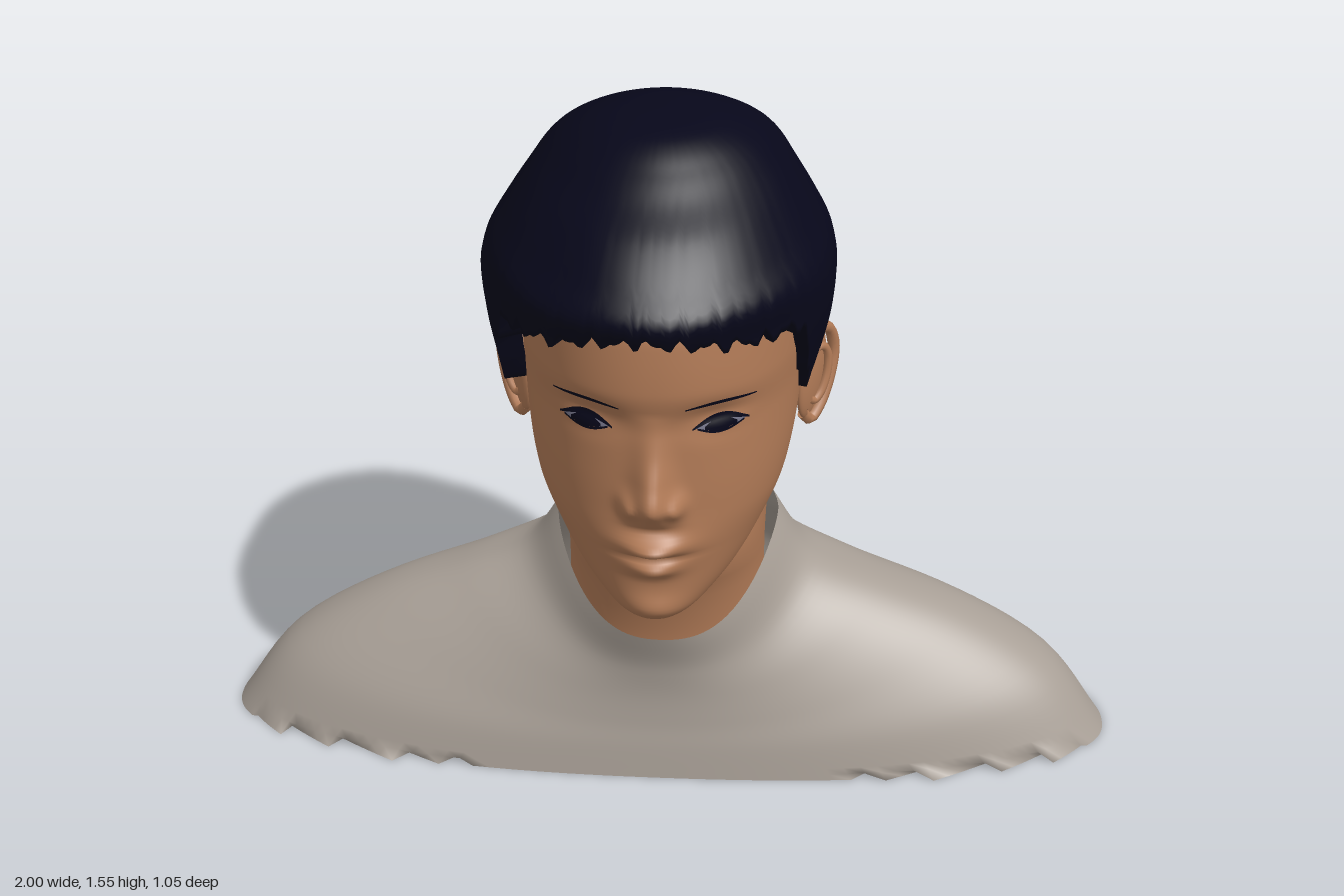
import * as THREE from 'three';
import { mergeVertices } from 'three/addons/utils/BufferGeometryUtils.js';

const mat = (name, color, side = THREE.FrontSide) => {
  const m = new THREE.MeshStandardMaterial({ color, side });
  m.name = name;
  return m;
};

// Smooth surface from fn(u, v): u runs from the front towards +x, v runs upwards
function surface(cols, rows, fn) {
  const pos = [], index = [];
  for (let i = 0; i <= rows; i++)
    for (let j = 0; j <= cols; j++) pos.push(...fn(j / cols, i / rows));
  for (let i = 0; i < rows; i++)
    for (let j = 0; j < cols; j++) {
      const a = i * (cols + 1) + j, c = a + cols + 1;
      index.push(a, a + 1, c, a + 1, c + 1, c);
    }
  let g = new THREE.BufferGeometry();
  g.setAttribute('position', new THREE.Float32BufferAttribute(pos, 3));
  g.setIndex(index);
  g = mergeVertices(g, 1e-5);
  g.computeVertexNormals();
  return g;
}

// Monotone cubic interpolation of table rows; the first column is the key
function sample(table, key) {
  const n = table.length - 1;
  const t = Math.min(Math.max(key, table[0][0]), table[n][0]);
  let i = 0;
  while (i < n - 1 && t > table[i + 1][0]) i++;
  const h = table[i + 1][0] - table[i][0], s = (t - table[i][0]) / h;
  const secant = (k, c) => (table[k + 1][c] - table[k][c]) / (table[k + 1][0] - table[k][0]);
  const slope = (k, c) => {
    if (k === 0) return secant(0, c);
    if (k === n) return secant(n - 1, c);
    const a = secant(k - 1, c), b = secant(k, c);
    return a * b <= 0 ? 0 : (2 * a * b) / (a + b);
  };
  return table[i].slice(1).map((p, k) => {
    const d = table[i + 1][k + 1] - p;
    return p + d * s * s * (3 - 2 * s) + h * s * (1 - s) * (slope(i, k + 1) * (1 - s) - slope(i + 1, k + 1) * s);
  });
}

// Point [x, z] on a horizontal superellipse section, widest near its middle
const bend = (v, n) => Math.sign(v) * Math.abs(v) ** (2 / n);
const middle = (zf, zb) => zb + 0.47 * (zf - zb);
function section([w, zf, zb], a, n, zc = middle(zf, zb)) {
  const c = bend(Math.cos(a), n);
  return [w * bend(Math.sin(a), n), zc + c * (c > 0 ? zf - zc : zc - zb)];
}

// Sections: y, half width, front z, back z
const HEAD = [
  [0.52, 0.001, 0.25, 0.24], [0.528, 0.05, 0.34, 0.18], [0.545, 0.085, 0.405, 0.1], [0.58, 0.13, 0.432, 0],
  [0.63, 0.178, 0.435, -0.08], [0.7, 0.222, 0.438, -0.15], [0.8, 0.265, 0.445, -0.2], [0.9, 0.285, 0.448, -0.27],
  [1, 0.295, 0.448, -0.33], [1.1, 0.3, 0.466, -0.35], [1.2, 0.3, 0.46, -0.35], [1.3, 0.27, 0.42, -0.33],
  [1.4, 0.2, 0.3, -0.25], [1.46, 0.001, 0.03, 0.01],
];
const NECK = [[0, 0.25, 0.165, -0.2], [0.3, 0.22, 0.15, -0.21], [0.48, 0.216, 0.19, -0.23], [0.55, 0.218, 0.23, -0.235], [0.9, 0.24, 0.2, -0.28]];
const HAIR = [
  [0.68, 0.23, 0.4, -0.255], [0.8, 0.285, 0.43, -0.315], [0.9, 0.32, 0.44, -0.36], [1, 0.345, 0.455, -0.39],
  [1.12, 0.368, 0.48, -0.41], [1.2, 0.374, 0.495, -0.405], [1.27, 0.362, 0.523, -0.385], [1.33, 0.33, 0.48, -0.37],
  [1.4, 0.285, 0.41, -0.335], [1.45, 0.25, 0.33, -0.29], [1.49, 0.21, 0.275, -0.21], [1.53, 0.14, 0.21, -0.1],
  [1.545, 0.08, 0.15, -0.05], [1.55, 0.001, 0.051, 0.049],
];
// Height of the hairline by angle from the front
const HAIRLINE = [
  [0, 1.235], [0.3, 1.22], [0.6, 1.195], [0.95, 1.175], [1.08, 1.1], [1.24, 0.98], [1.36, 1], [1.5, 1.05],
  [1.75, 1], [1.88, 0.86], [2, 0.79], [2.3, 0.76], [2.7, 0.73], [Math.PI, 0.7],
];
// Garment, hem to collar: step, half width, front z, side z, back z, shoulder blade, front y, side y, back y
const GARMENT = [
  [0, 1, 0.2, -0.09, -0.44, 0.11, 0, 0, 0], [0.2, 0.88, 0.19, -0.1, -0.41, 0.09, 0.07, 0.165, 0.13],
  [0.4, 0.66, 0.18, -0.11, -0.36, 0.07, 0.13, 0.3, 0.26], [0.6, 0.47, 0.175, -0.1, -0.32, 0.03, 0.2, 0.375, 0.38],
  [0.8, 0.32, 0.18, -0.09, -0.29, 0.015, 0.27, 0.44, 0.49], [1, 0.245, 0.21, -0.07, -0.27, 0, 0.37, 0.55, 0.63],
];
// Nose: y, height, width
const NOSE = [[0.785, 0, 0.05], [0.815, 0.035, 0.045], [0.855, 0.068, 0.042], [0.9, 0.048, 0.036], [0.96, 0.022, 0.034], [1.05, 0, 0.034]];

// Relief of the nose, eye sockets, lips and chin
const bump = (x, y, cx, cy, sx, sy) => Math.exp(-(((x - cx) / sx) ** 2) - ((y - cy) / sy) ** 2);
function relief(x, y) {
  const ax = Math.abs(x), [h, w] = sample(NOSE, y);
  return h * Math.exp(-((x / w) ** 2))
    + 0.024 * bump(ax, y, 0.05, 0.84, 0.018, 0.024)
    - 0.017 * bump(ax, y, 0.125, 1.03, 0.065, 0.035)
    + 0.01 * bump(ax, y, 0.14, 1.015, 0.05, 0.018)
    + 0.02 * bump(ax, y, 0, 0.74, 0.1, 0.05)
    + 0.034 * bump(ax, y, 0, 0.746, 0.055, 0.018)
    + 0.028 * bump(ax, y, 0, 0.69, 0.05, 0.02)
    - 0.014 * bump(ax, y, 0, 0.717, 0.07, 0.007)
    + 0.012 * bump(ax, y, 0, 0.585, 0.06, 0.03);
}
const FACE_N = 2.15;
function faceZ(x, y) {
  const [w, zf, zb] = sample(HEAD, y), zc = middle(zf, zb);
  return zc + (zf - zc) * (1 - Math.abs(x / w) ** FACE_N) ** (1 / FACE_N) + relief(x, y);
}

// Thin painted patch lying on the face between a lower and an upper curve
const arc = (base, h) => (u) => base + h * Math.sin(Math.PI * u);
const patch = (cx, half, lower, upper, lift) => surface(16, 4, (u, v) => {
  const x = cx + half * (2 * u - 1), y = lower(u) + (upper(u) - lower(u)) * v;
  return [x, y, faceZ(x, y) + lift];
});

export function createModel() {
  const model = new THREE.Group();
  model.name = 'bust';
  const skin = mat('skin', 0xb27b57, THREE.DoubleSide);
  const hair = mat('hair', 0x07071a, THREE.DoubleSide);
  const cloth = mat('cloth', 0xa89f96, THREE.DoubleSide);
  const white = mat('eyeWhite', 0x77778c);
  const add = (name, geometry, material, parent = model) => {
    const mesh = new THREE.Mesh(geometry, material);
    mesh.name = name;
    parent.add(mesh);
  };

  // Head, with the columns gathered towards the face
  add('head', surface(120, 110, (u, v) => {
    const t = (u - 0.5) * 2 * Math.PI, a = t - 0.55 * Math.sin(t);
    const y = 0.52 + 0.94 * v;
    const [x, z] = section(sample(HEAD, y), a, FACE_N);
    return [x, y, z + (Math.cos(a) > 0 ? relief(x, y) : 0)];
  }), skin);

  // Neck, running down to the hem in front and cut short behind
  add('neck', surface(64, 20, (u, v) => {
    const a = u * 2 * Math.PI;
    const y0 = 0.01 + 0.42 * THREE.MathUtils.smoothstep(-Math.cos(a), 0, 0.3);
    const y = y0 + (0.9 - y0) * v;
    const [x, z] = section(sample(NECK, y), a, 2);
    return [x, y, z];
  }), skin);

  // Hair shell with a ragged hairline; the lowest row tucks in to the head
  const rows = 44;
  add('hair', surface(240, rows, (u, v) => {
    const a = u * 2 * Math.PI, side = Math.min(a, 2 * Math.PI - a);
    const edge = sample(HAIRLINE, side)[0] + 0.012 * Math.sin(a * 38) + 0.009 * Math.sin(a * 63 + 1);
    const k = Math.min(1, (1 - v) * rows / (rows - 1));
    const y = 1.55 - (1.55 - edge) * k ** 1.7;
    const [x, z] = section(sample(HAIR, y), a, 1.95);
    const r = (v === 0 ? 0.84 : 1) + 0.008 * Math.sin(a * 7 + y * 5) * Math.sin(y * 17) * k;
    return [x * r - 0.015 * k, y, z * (v === 0 ? 0.87 : r)];
  }), hair);

  // Garment with shoulder blades, a tilted collar and a ragged front hem
  add('garment', surface(144, 30, (u, v) => {
    const a = u * 2 * Math.PI, s = Math.abs(Math.sin(a)), back = Math.cos(a) < 0;
    const [w, zf, zc, zb, blade, yf, ys, yb] = sample(GARMENT, v);
    const [x, z0] = section([w, zf, zb], a, 2.25 - 0.25 * v, zc);
    let z = z0;
    if (back) z -= blade * bump(s, 0, 0.38, 0, 0.22, 1);
    else if (v === 0 && s > 0.4 && s < 0.95) z += 0.02 - 0.055 * ((s * 7) % 1);
    const end = back ? yb : yf;
    return [x, end + (ys - end) * s ** (back ? 2 : 2 + v), z];
  }), cloth);

  // Eyes and eyebrows
  for (const s of [-1, 1]) {
    const name = s > 0 ? 'left' : 'right', c = s * 0.137;
    add(name + 'EyeWhite', patch(c, 0.05, arc(1.012, -0.01), arc(1.012, 0.02), 0.003), white);
    add(name + 'Iris', patch(c, 0.032, arc(1.008, -0.006), arc(1.014, 0.016), 0.005), hair);
    add(name + 'Lashes', patch(c, 0.056, arc(1.01, 0.016), arc(1.014, 0.026), 0.006), hair);
    add(name + 'LowerLashes', patch(c, 0.046, arc(1.009, -0.013), arc(1.013, -0.011), 0.005), hair);
    add(name + 'Eyebrow', patch(c, 0.07, arc(1.062, 0.005), arc(1.065, 0.011), 0.004), hair);
  }

  // Ears: flattened bowl, with an outer rim and an inner fold as open oval arcs
  const curl = (ry, rz, x, start, sweep, r) => new THREE.TubeGeometry(
    new THREE.CatmullRomCurve3(Array.from({ length: 9 }, (_, i) => {
      const a = start + sweep * i / 8, y = ry * Math.sin(a);
      return new THREE.Vector3(x - 0.01 * Math.cos(a), y, rz * Math.cos(a) * (1 + 3 * y));
    })), 32, r, 8);
  const rim = curl(0.105, 0.055, 0.009, -0.1, 5.4, 0.013);
  const fold = curl(0.062, 0.03, 0.012, 0.9, 4.2, 0.01);
  const bowl = new THREE.SphereGeometry(1, 24, 16).scale(0.018, 0.105, 0.052);
  for (const s of [-1, 1]) {
    const ear = new THREE.Group(), shell = new THREE.Group();
    ear.name = s > 0 ? 'leftEar' : 'rightEar';
    ear.scale.x = s;
    shell.name = 'earShell';
    shell.position.set(0.312, 0.945, 0.03);
    shell.rotation.set(-0.2, -0.45, -0.12);
    add('earBowl', bowl, skin, shell);
    add('earRim', rim, skin, shell);
    add('earFold', fold, skin, shell);
    ear.add(shell);
    model.add(ear);
  }
  return model;
}
